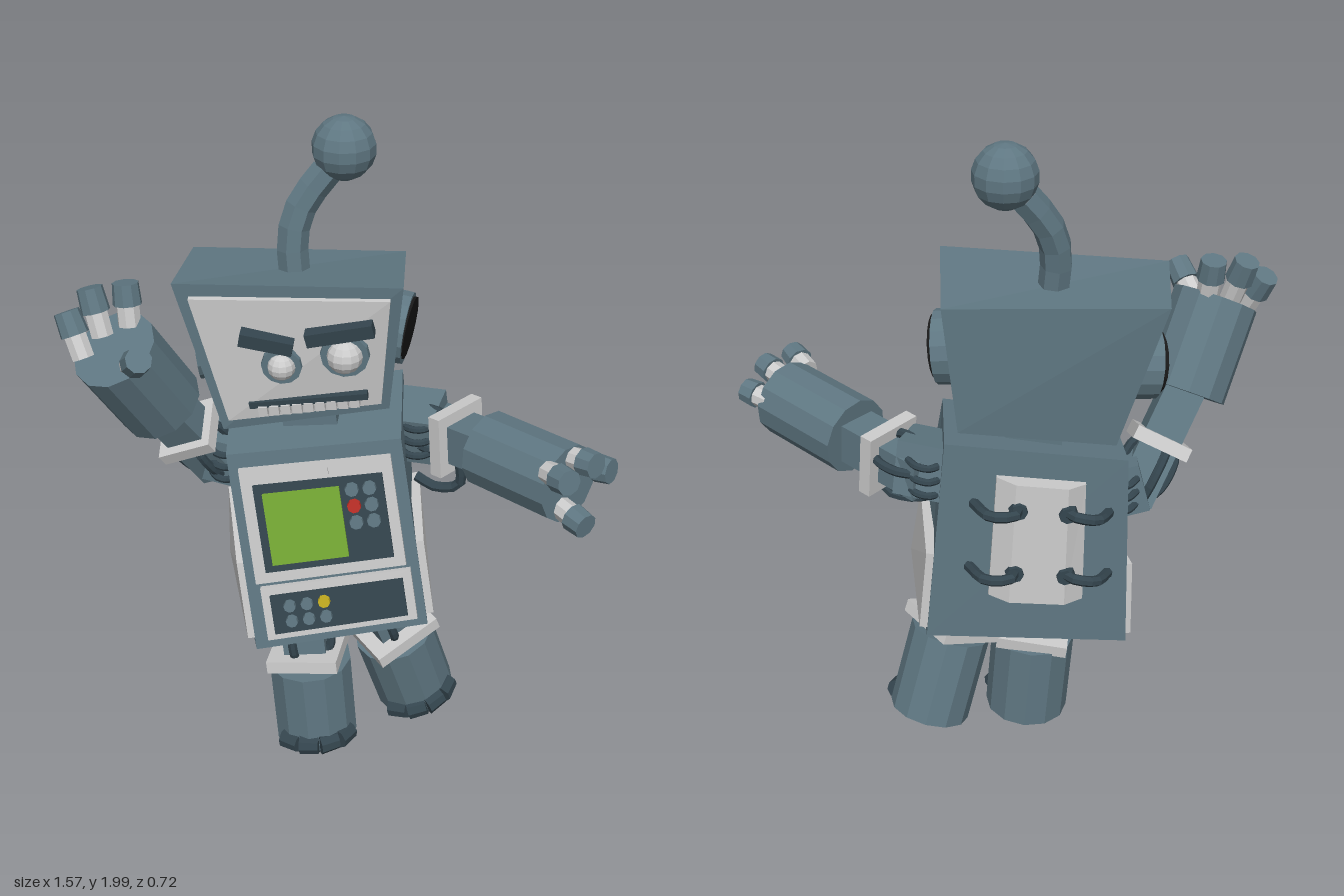
import * as THREE from 'three';

const mat = (color) => new THREE.MeshStandardMaterial({ color, flatShading: true });
const STEEL = mat(0x5f7782), DARK = mat(0x34454e), GREY = mat(0xcccccc), BLACK = mat(0x181818);
const GREEN = mat(0x78ad35), RED = mat(0xc03028), YELLOW = mat(0xc8b020);
const V = (p) => new THREE.Vector3(...p);
const UP = new THREE.Vector3(0, 1, 0);

export function createModel() {
  const root = new THREE.Group();
  root.name = 'robot';

  const add = (name, geo, m, parent = root) => {
    const mesh = new THREE.Mesh(geo, m);
    mesh.name = name;
    parent.add(mesh);
    return mesh;
  };

  // six-sided solid between two quads, both listed anticlockwise from the front
  const hexa = (name, back, front, m) => {
    const [a, b, c, d] = back, [e, f, g, h] = front, pos = [];
    for (const [p, q, r, s] of [[e, f, g, h], [b, a, d, c], [a, b, f, e], [b, c, g, f], [c, d, h, g], [d, a, e, h]])
      for (const v of [p, q, r, p, r, s]) pos.push(v.x, v.y, v.z);
    const geo = new THREE.BufferGeometry();
    geo.setAttribute('position', new THREE.Float32BufferAttribute(pos, 3));
    geo.computeVertexNormals();
    return add(name, geo, m);
  };

  // lay a mesh or group along the line from p to q
  const along = (obj, p, q, spin = 0) => {
    obj.position.copy(p).lerp(q, 0.5);
    obj.quaternion.setFromUnitVectors(UP, q.clone().sub(p).normalize());
    obj.rotateY(spin);
    return obj;
  };
  const rod = (name, p, q, r0, r1, m, sides = 10) =>
    along(add(name, new THREE.CylinderGeometry(r1, r0, p.distanceTo(q), sides), m), p, q);
  const beam = (name, p, q, w, d, m, spin = 0) =>
    along(add(name, new THREE.BoxGeometry(w, p.distanceTo(q), d), m), p, q, spin);
  const tube = (name, pts, r, m = DARK, seg = 8) =>
    add(name, new THREE.TubeGeometry(new THREE.CatmullRomCurve3(pts), seg, r, 7), m);

  // a skewed quad surface on which details are placed by (u, v, depth)
  const surface = (corners) => {
    const [a, b, c, d] = corners;
    const right = b.clone().sub(a).add(c).sub(d).normalize();
    const n = right.clone().cross(d.clone().sub(a).add(c).sub(b)).normalize();
    const basis = new THREE.Matrix4().makeBasis(right, n.clone().cross(right), n);
    const at = (u, v, k = 0) => a.clone().lerp(b, u).lerp(d.clone().lerp(c, u), v).addScaledVector(n, k);
    const quad = (u0, u1, v0, v1, k) => [at(u0, v0, k), at(u1, v0, k), at(u1, v1, k), at(u0, v1, k)];
    return {
      at,
      slab: (name, u0, u1, v0, v1, k0, k1, m) => hexa(name, quad(u0, u1, v0, v1, k0), quad(u0, u1, v0, v1, k1), m),
      knob: (name, u, v, r, k, m) => rod(name, at(u, v, -0.01), at(u, v, k), r, r * 0.9, m, 8),
      box: (name, u, v, k, size, m, roll = 0) => {
        const mesh = add(name, new THREE.BoxGeometry(...size), m);
        mesh.position.copy(at(u, v, k));
        mesh.quaternion.setFromRotationMatrix(basis);
        mesh.rotateZ(roll);
      },
    };
  };

  // torso
  const tf = [[-.24, .43, .21], [.27, .54, .15], [.17, 1.13, .07], [-.33, 1.06, .12]].map(V);
  const tb = [[-.39, .48, -.21], [.195, .53, -.285], [.135, 1.17, -.26], [-.375, 1.10, -.2]].map(V);
  hexa('torso', tb, tf, STEEL);
  const chest = surface(tf);
  chest.slab('chestFrame', .06, .93, .35, .93, -.01, .016, GREY);
  chest.slab('chestPanel', .13, .87, .41, .85, 0, .026, DARK);
  chest.slab('screen', .18, .62, .45, .81, 0, .036, GREEN);
  chest.slab('lowerFrame', .08, .95, .05, .325, -.01, .016, GREY);
  chest.slab('lowerPanel', .13, .9, .085, .285, 0, .026, DARK);
  for (let i = 0; i < 3; i++) for (let j = 0; j < 2; j++) {
    chest.knob('chestButton', .69 + j * .1, .79 - i * .085, .022, .042, i === 1 && j === 0 ? RED : STEEL);
    chest.knob('lowerButton', .24 + i * .1, .15 + j * .08, .02, .042, i === 2 && j === 1 ? YELLOW : STEEL);
  }
  chest.slab('chestCatch', .4, .57, .87, .905, 0, .026, GREY);

  // side plates
  const sides = [[tf[1], tb[1], tb[2], tf[2]], [tb[0], tf[0], tf[3], tb[3]]].map(surface);
  sides[0].slab('leftSidePlate', .06, .97, .03, .43, -.01, .022, GREY);
  sides[1].slab('rightSidePlate', .03, .94, .03, .43, -.01, .02, GREY);

  // bowed back plate with four hoses
  const back = surface([tb[1], tb[0], tb[3], tb[2]]);
  const us = [.29, .39, .67, .77], bow = [.012, .05, .05, .012];
  for (let i = 0; i < 3; i++) {
    const strip = (k0, k1) => [[us[i], .25, k0], [us[i + 1], .25, k1], [us[i + 1], .87, k1], [us[i], .87, k0]].map((p) => back.at(...p));
    hexa('backPlate', strip(-.01, -.01), strip(bow[i], bow[i + 1]), GREY);
  }
  for (const [s, lift] of [[-1, .09], [1, .07]]) for (const v of [.41, .74]) {
    const u = .54 + s * .13;
    rod('hoseSocket', back.at(u, v, .03), back.at(u, v, .06), .03, .025, DARK, 8);
    tube('backHose', [back.at(u, v, .03), back.at(u + s * .03, v + .01, lift), back.at(u + s * .15, v, lift), back.at(u + s * .23, v - .02, 0)], .016);
  }

  // neck and head
  beam('neck', V([-.1, 1.06, -.08]), V([-.115, 1.2, -.08]), .16, .15, STEEL);
  const hf = [[-.345, 1.115, .07], [.13, 1.2, .025], [.17, 1.61, .085], [-.47, 1.58, .09]].map(V);
  const hb = [[-.34, 1.13, -.17], [.1, 1.19, -.23], [.14, 1.57, -.235], [-.47, 1.565, -.185]].map(V);
  hexa('head', hb, hf, STEEL);
  const face = surface(hf);
  face.slab('facePlate', .06, .95, .08, .92, -.01, .018, GREY);
  for (const [u, v, r] of [[.43, .47, .04], [.75, .53, .051]]) {
    rod('eyeSocket', face.at(u, v, 0), face.at(u, v, .04), r + .02, r + .017, STEEL, 12);
    add('eye', new THREE.SphereGeometry(r, 12, 8), GREY).position.copy(face.at(u, v, .037));
  }
  face.box('brow', .38, .655, .035, [.15, .04, .05], DARK, -.28);
  face.box('brow', .73, .71, .035, [.19, .04, .05], DARK, .12);
  face.box('mouth', .54, .19, .022, [.34, .02, .03], DARK, .05);
  for (let i = 0; i < 9; i++) face.box('tooth', .28 + i * .065, .145, .025, [.026, .03, .03], GREY);

  // ears, set into the sloping cheeks
  for (const [x, y, z, s, turn] of [[.115, 1.4, -.11, 1, .006], [-.39, 1.34, -.06, -1, .018]]) {
    rod('ear', V([x - s * .03, y, z]), V([x + s * .05, y - .008, z + turn]), .108, .105, STEEL, 16);
    rod('earCup', V([x, y, z]), V([x + s * .056, y - .007, z + turn]), .092, .092, BLACK, 16);
  }

  // antenna
  tube('antenna', [[-.155, 1.57, -.07], [-.16, 1.67, -.08], [-.135, 1.76, -.1], [-.07, 1.85, -.125]].map(V), .045, STEEL, 5);
  add('antennaBall', new THREE.SphereGeometry(.09, 12, 9), STEEL).position.set(-.025, 1.91, -.14);

  // a limb: square bar, cuff, a hose on each face and a thick faceted end
  const limb = (name, p, w, e, r, width, spin, cuffAt, cuffSize) => {
    const dir = w.clone().sub(p).normalize();
    beam(name + 'Bar', p, w.clone().lerp(e, .1), width, width, STEEL, spin);
    const cuff = p.clone().lerp(w, cuffAt);
    beam(name + 'Cuff', cuff.clone().addScaledVector(dir, -.02), cuff.clone().addScaledVector(dir, .02), cuffSize, cuffSize, GREY, spin);
    rod(name + 'Sleeve', w, e, r, r, STEEL, 12);
    const frame = along(new THREE.Object3D(), p, cuff, spin);
    const len = p.distanceTo(cuff);
    frame.updateMatrix();
    for (let i = 0; i < 4; i++) {
      const local = (out, y) => new THREE.Vector3(width * .2, y * len, out).applyAxisAngle(UP, i * Math.PI / 2).applyMatrix4(frame.matrix);
      tube(name + 'Hose', [local(width * .45, -.4), local(width * .5 + .015, -.15), local(width * .5 + .015, .3), local(width * .45, .5)], .014);
    }
  };
  const finger = (base, tip) => {
    const [a, b] = [V(base), V(tip)], mid = a.clone().lerp(b, .5);
    rod('knuckle', a, mid, .033, .033, GREY, 8);
    rod('finger', mid, b, .041, .037, STEEL, 9);
  };
  // shoulder block joined to the torso by short hoses
  const shoulder = (name, p, q, size) => {
    beam(name, p, q, size, size, STEEL);
    for (let i = -1; i < 2; i++) for (const s of [-1, 1]) {
      const pt = (t, out) => p.clone().lerp(q, t).add(V([0, i * size * .28, s * (size / 2 + out)]));
      tube(name + 'Hose', [pt(.25, 0), pt(.4, .022), pt(.65, .022), pt(.85, -.005)], .011);
    }
  };

  // raised right arm
  shoulder('rightShoulder', V([-.31, .94, -.08]), V([-.42, .97, -.07]), .15);
  limb('rightArm', V([-.39, .9, -.08]), V([-.53, 1.185, .06]), V([-.615, 1.42, .19]), .125, .115, 0, .54, .17);
  finger([-.7, 1.39, .2], [-.75, 1.51, .16]);
  finger([-.655, 1.44, .155], [-.69, 1.57, .125]);
  finger([-.585, 1.46, .12], [-.595, 1.58, .1]);
  finger([-.56, 1.39, .23], [-.505, 1.47, .33]);

  // outstretched left arm
  shoulder('leftShoulder', V([.12, 1.04, -.17]), V([.265, 1.05, -.14]), .16);
  limb('leftArm', V([.19, 1.03, -.2]), V([.415, 1.055, -.035]), V([.65, 1.075, .15]), .115, .12, .94, .55, .19);
  finger([.59, 1.14, .2], [.65, 1.16, .28]);
  finger([.65, 1.15, .13], [.72, 1.165, .19]);
  finger([.685, 1.1, .08], [.765, 1.11, .125]);
  finger([.63, 1.01, .17], [.705, 1.0, .245]);
  tube('elbowHose', [[.2, .9, -.1], [.26, .88, -.08], [.33, .9, -.07], [.33, 1.0, -.06]].map(V), .016);

  // legs with toe caps
  for (const [name, hip, ankle, sole, r, spin, facing] of [
    ['rightLeg', [-.13, .5, .04], [-.105, .3, .06], [-.085, .018, .06], .13, .25, .25],
    ['leftLeg', [.09, .56, .02], [.148, .365, -.03], [.215, .098, -.095], .125, .75, .45]]) {
    const top = V(ankle), bottom = V(sole);
    limb(name, V(hip), top, bottom, r, .13, spin, .87, .22);
    const foot = along(new THREE.Group(), bottom, top);
    foot.name = name + 'Toes';
    root.add(foot);
    for (let i = 0; i < 4; i++) {
      const a = facing + (i - 1.5) * .5;
      const toe = add('toe', new THREE.CylinderGeometry(.03, .034, .06, 8), DARK, foot);
      toe.position.set(Math.sin(a) * (r - .01), -top.distanceTo(bottom) / 2 + .026, Math.cos(a) * (r - .01));
      toe.quaternion.setFromUnitVectors(UP, new THREE.Vector3(Math.cos(a), 0, -Math.sin(a)));
    }
  }
  return root;
}
